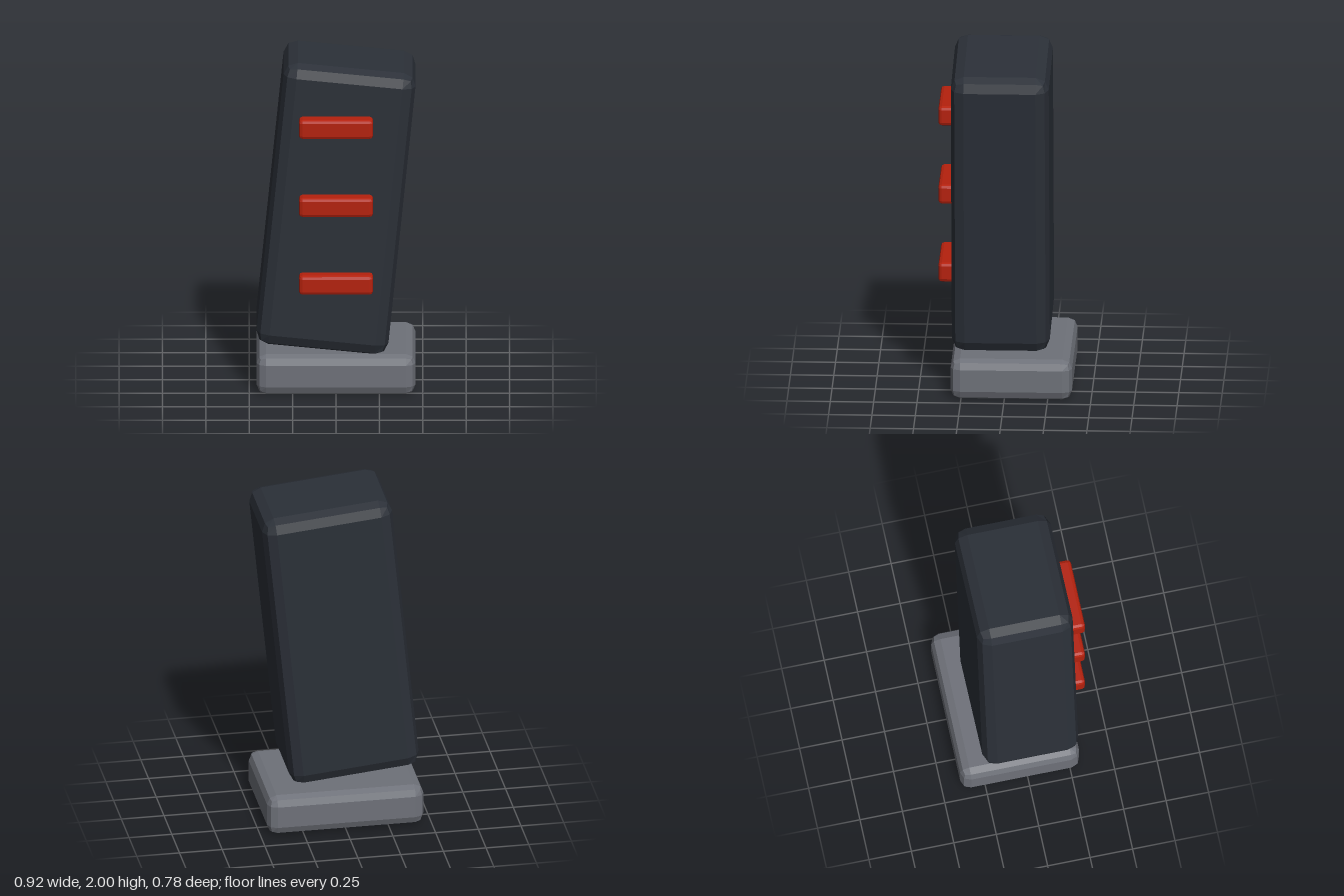
import * as THREE from 'three';
import { RoundedBoxGeometry } from 'three/addons/geometries/RoundedBoxGeometry.js';

// Box with a two-facet bevel on every edge
function bevelBox(name, [w, h, d], radius, color, [x, y, z]) {
  const material = new THREE.MeshStandardMaterial({ color, flatShading: true });
  const mesh = new THREE.Mesh(new RoundedBoxGeometry(w, h, d, 1, radius), material);
  mesh.name = name;
  mesh.position.set(x, y, z);
  return mesh;
}

export function createModel() {
  const model = new THREE.Group();
  model.name = 'leaningTower';

  // Base slab
  model.add(bevelBox('base', [0.916, 0.24, 0.7], 0.055, 0x6e7179, [0, 0.122, -0.04]));

  // Tall body leaning to its left
  const body = bevelBox('body', [0.764, 1.712, 0.565], 0.075, 0x2b3038, [0, 1.118, 0.0275]);
  body.rotation.z = -0.1;
  model.add(body);

  // Three level bars, sunk into the front face
  [0.697, 1.168, 1.641].forEach((y, i) => {
    model.add(bevelBox(`frontBar${i + 1}`, [0.427, 0.116, 0.13], 0.02, 0xb5210d, [0, y, 0.324]));
  });

  return model;
}
